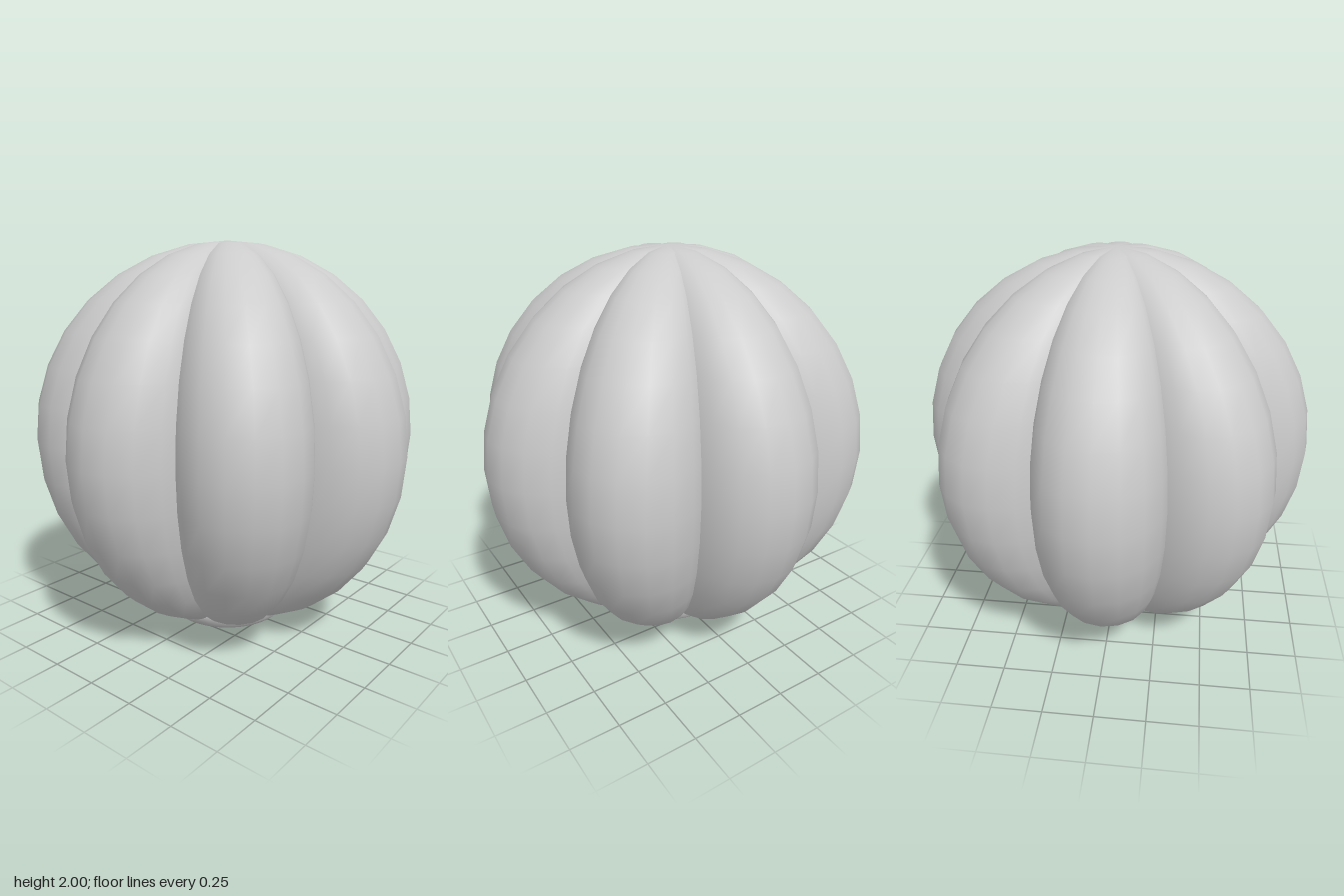
import * as THREE from 'three';
import { toCreasedNormals } from 'three/addons/utils/BufferGeometryUtils.js';

const LOBES = 8, ROWS = 16;

// Outline at the widest level: eight round arcs meeting in sharp grooves
function lobedOutline() {
  const centre = 0.69, radius = 0.31, points = [];
  for (let i = 0; i < LOBES; i++) {
    const turn = (i / LOBES) * Math.PI * 2;
    const add = (side, out) => points.push([
      side * Math.cos(turn) + out * Math.sin(turn),
      out * Math.cos(turn) - side * Math.sin(turn),
    ]);
    add(-0.8 * Math.sin(Math.PI / 8), 0.8 * Math.cos(Math.PI / 8)); // groove
    for (let k = -3; k <= 3; k++) {
      const a = (k * Math.PI) / 8;
      add(radius * Math.sin(a), centre + radius * Math.cos(a));
    }
  }
  return points;
}

// Outline scaled from pole to pole along a semicircle
function lobedBall() {
  const outline = lobedOutline(), n = outline.length;
  const position = [0, 0, 0], index = [];
  for (let r = 1; r < ROWS; r++) {
    const a = (r / ROWS) * Math.PI;
    for (const [x, z] of outline) position.push(x * Math.sin(a), 1 - Math.cos(a), z * Math.sin(a));
  }
  position.push(0, 2, 0);
  const top = 1 + n * (ROWS - 1);
  const at = (r, j) => 1 + (r - 1) * n + (j % n);
  for (let j = 0; j < n; j++) {
    index.push(0, at(1, j + 1), at(1, j));
    for (let r = 1; r < ROWS - 1; r++) {
      index.push(at(r, j), at(r, j + 1), at(r + 1, j + 1));
      index.push(at(r, j), at(r + 1, j + 1), at(r + 1, j));
    }
    index.push(at(ROWS - 1, j), at(ROWS - 1, j + 1), top);
  }
  const geometry = new THREE.BufferGeometry();
  geometry.setAttribute('position', new THREE.Float32BufferAttribute(position, 3));
  geometry.setIndex(index);
  return toCreasedNormals(geometry, 0.75);
}

export function createModel() {
  const group = new THREE.Group();
  group.name = 'lobedBallOnRing';
  const material = new THREE.MeshStandardMaterial({ color: 0xcccccc });

  const body = new THREE.Mesh(lobedBall(), material);
  body.name = 'lobedBody';
  group.add(body);

  // Ring under the body
  const ring = new THREE.Mesh(new THREE.TorusGeometry(0.26, 0.09, 12, 48), material);
  ring.name = 'baseRing';
  ring.rotation.x = Math.PI / 2;
  ring.position.y = 0.097;
  group.add(ring);

  return group;
}
